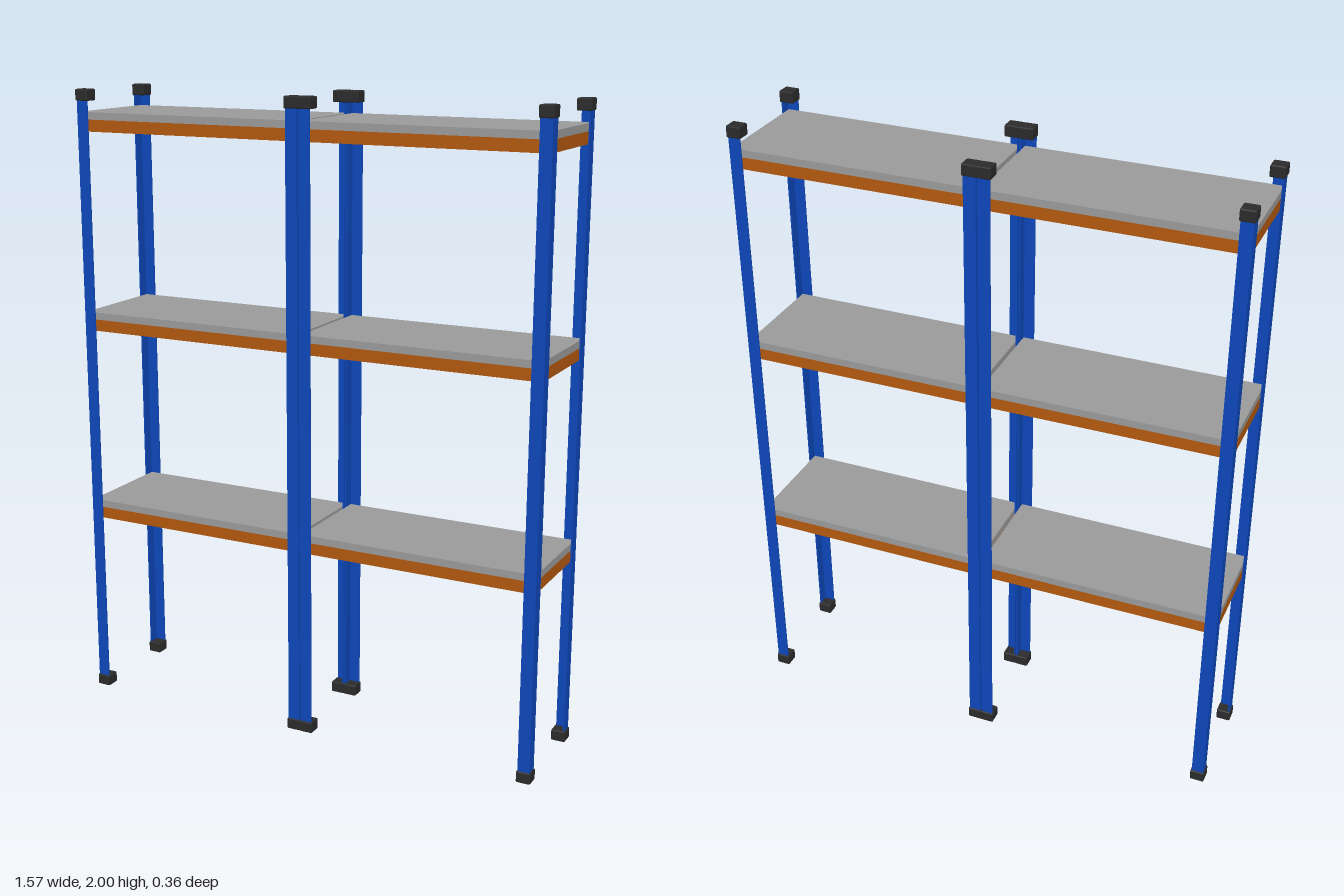
import * as THREE from 'three';
import { RoundedBoxGeometry } from 'three/addons/geometries/RoundedBoxGeometry.js';

const mat = (name, color) => new THREE.MeshStandardMaterial({ name, color });

export function createModel() {
  const blue = mat('post blue', 0x0d47ba);
  const orange = mat('beam orange', 0xb3590f);
  const grey = mat('board grey', 0x9a9a9a);
  const black = mat('cap black', 0x2b2b2b);

  const H = 2, CAP = 0.046, CAP_H = 0.036;
  const IN = 0.0025, OUT = 0.7785, Z = 0.1755; // outer faces of the posts in one bay
  const LEG = 0.038, T = 0.004;                // angle iron width and thickness
  const model = new THREE.Group();
  model.name = 'shelvingUnit';

  const add = (parent, name, geometry, material, x, y, z) => {
    const mesh = new THREE.Mesh(geometry, material);
    mesh.name = name;
    mesh.position.set(x, y, z);
    parent.add(mesh);
  };
  const box = (w, h, d) => new THREE.BoxGeometry(w, h, d);

  // L-section upright: outer corner at (x, z), flanges running towards (dx, dz)
  function addPost(parent, x, z, dx, dz) {
    const post = new THREE.Group();
    post.name = 'post';
    const h = H - 0.01;
    add(post, 'postFaceFlange', box(LEG, h, T), blue, x + dx * LEG / 2, H / 2, z + dz * T / 2);
    add(post, 'postSideFlange', box(T, h, LEG - T), blue, x + dx * T / 2, H / 2, z + dz * (LEG + T) / 2);
    const cx = x + dx * LEG / 2, cz = z + dz * LEG / 2;
    for (const [name, y] of [['foot', CAP_H / 2], ['topCap', H - CAP_H / 2]])
      add(post, name, new RoundedBoxGeometry(CAP, CAP_H, CAP, 1, 0.004), black, cx, y, cz);
    parent.add(post);
  }

  // Rectangular ring of four thin walls, w by d on the outside
  function addFrame(parent, name, material, cx, y, w, h, d, t) {
    for (const s of [-1, 1]) {
      add(parent, name, box(w, h, t), material, cx, y + h / 2, s * (d - t) / 2);
      add(parent, name, box(t, h, d - 2 * t), material, cx + s * (w - t) / 2, y + h / 2, 0);
    }
  }

  for (const side of [-1, 1]) {
    const bay = new THREE.Group();
    bay.name = side > 0 ? 'leftBay' : 'rightBay';
    for (const s of [-1, 1]) {
      addPost(bay, side * OUT, s * Z, -side, -s);
      addPost(bay, side * IN, s * Z, side, -s);
    }

    // Shelves: beam frame below, tray board with a folded rim above
    const cx = side * (IN + OUT) / 2;
    const w = OUT - IN - 2 * T, d = 2 * (Z - T);
    for (const y of [0.604, 1.237, 1.87]) {
      const shelf = new THREE.Group();
      shelf.name = 'shelf';
      addFrame(shelf, 'beam', orange, cx, y, w, 0.037, d, 0.006);
      addFrame(shelf, 'boardRim', grey, cx, y + 0.037, w, 0.012, d, 0.006);
      add(shelf, 'board', box(w, 0.011, d), grey, cx, y + 0.0545, 0);
      bay.add(shelf);
    }
    model.add(bay);
  }
  return model;
}
